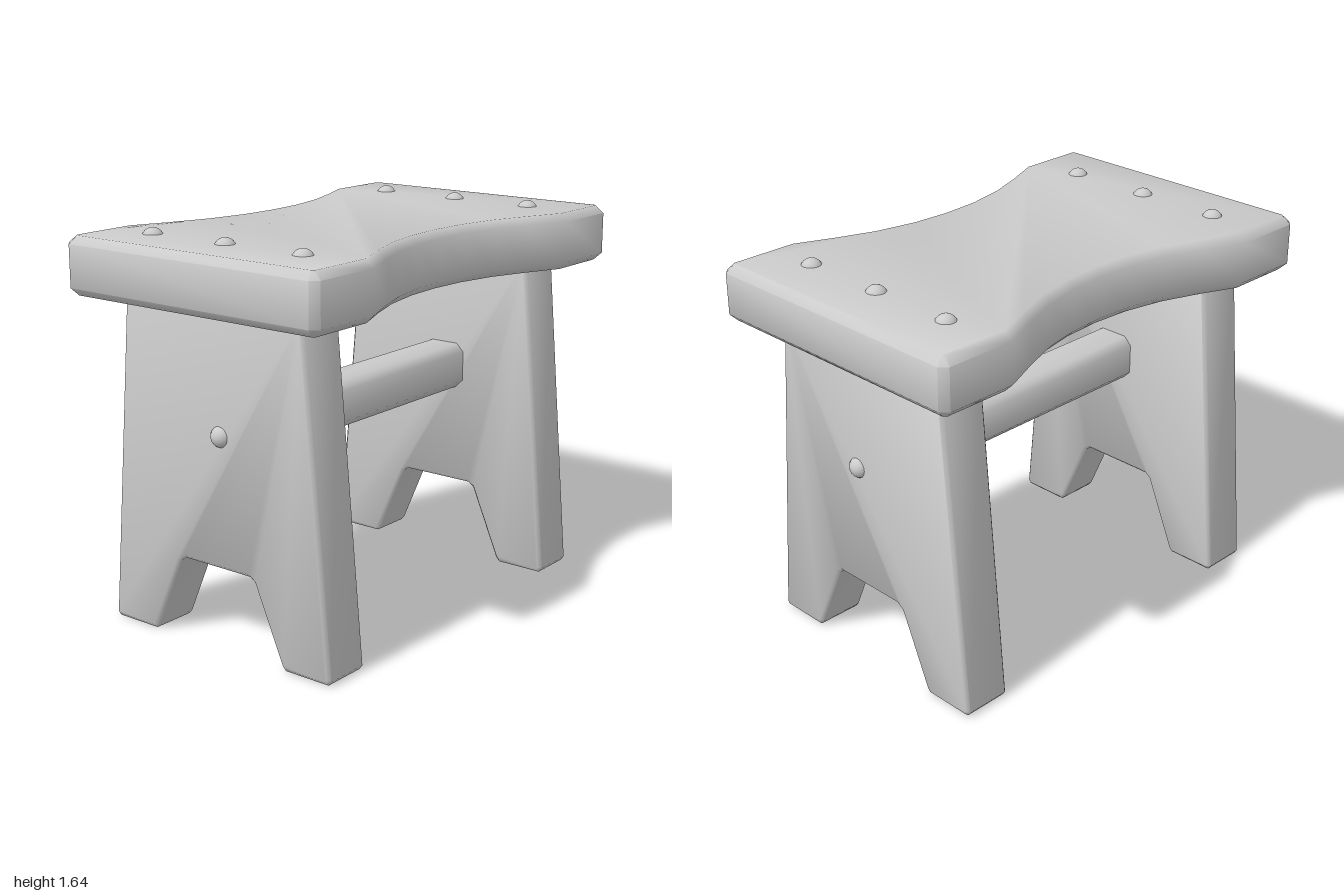
import * as THREE from 'three';
import { toCreasedNormals } from 'three/addons/utils/BufferGeometryUtils.js';

const material = new THREE.MeshStandardMaterial({ color: 0xcccccc });

// Mirrors a half outline (x > 0) into a closed symmetric shape.
function mirroredShape(half) {
  const other = half.filter(([x]) => x > 0).reverse().map(([x, y]) => [-x, y]);
  return new THREE.Shape([...half, ...other].map(([x, y]) => new THREE.Vector2(x, y)));
}

// Plank with chamfered edges, centred on its thickness.
function plank(shape, thickness, bevel) {
  const geometry = new THREE.ExtrudeGeometry(shape, {
    depth: thickness - 2 * bevel,
    bevelEnabled: true,
    bevelThickness: bevel,
    bevelSize: bevel,
    bevelOffset: -bevel,
    bevelSegments: 1,
  });
  return geometry.translate(0, 0, bevel - thickness / 2);
}

function addMesh(parent, name, geometry, x = 0, y = 0, z = 0) {
  const mesh = new THREE.Mesh(geometry, material);
  mesh.name = name;
  mesh.position.set(x, y, z);
  parent.add(mesh);
  return mesh;
}

export function createModel() {
  const stool = new THREE.Group();
  stool.name = 'stool';

  // Seat with a curved waist at the front and back
  const edge = [[0, 0.455], [0.165, 0.465], [0.335, 0.5], [0.5, 0.56], [0.665, 0.63], [0.97, 0.63], [1, 0.6]];
  const rightSide = [...edge, ...edge.slice().reverse().map(([x, y]) => [x, -y])].reverse();
  const seat = plank(mirroredShape(rightSide), 0.237, 0.032).rotateX(-Math.PI / 2);
  addMesh(stool, 'seat', toCreasedNormals(seat, 0.9), 0, 1.493, 0);

  // Tapered end boards with a notch that forms two feet
  const legShape = mirroredShape([
    [0.17, 0.345], [0.195, 0.328], [0.328, 0.02], [0.345, 0],
    [0.555, 0], [0.57, 0.02], [0.448, 1.4],
  ].reverse());
  const leg = toCreasedNormals(plank(legShape, 0.217, 0.014).rotateY(Math.PI / 2), 0.9);

  // Chamfered square rail between the legs
  const railShape = mirroredShape([[0.065, -0.1], [0.1, -0.065], [0.1, 0.065], [0.065, 0.1]]);
  const rail = new THREE.ExtrudeGeometry(railShape, { depth: 1.32, bevelEnabled: false });
  rail.translate(0, 0, -0.66).rotateY(Math.PI / 2);
  addMesh(stool, 'rail', toCreasedNormals(rail, 0.9), 0, 0.885, 0.035);

  // Legs and round pegs on both sides
  const peg = new THREE.SphereGeometry(0.045, 20, 12);
  for (const [side, s] of [['left', 1], ['right', -1]]) {
    addMesh(stool, `${side}Leg`, leg, s * 0.748, 0, 0);
    addMesh(stool, `${side}RailPeg`, peg, s * 0.84, 0.885, 0.035);
    [-0.385, -0.005, 0.375].forEach((z, i) =>
      addMesh(stool, `${side}SeatPeg${i + 1}`, peg, s * 0.757, 1.592, z));
  }

  return stool;
}
